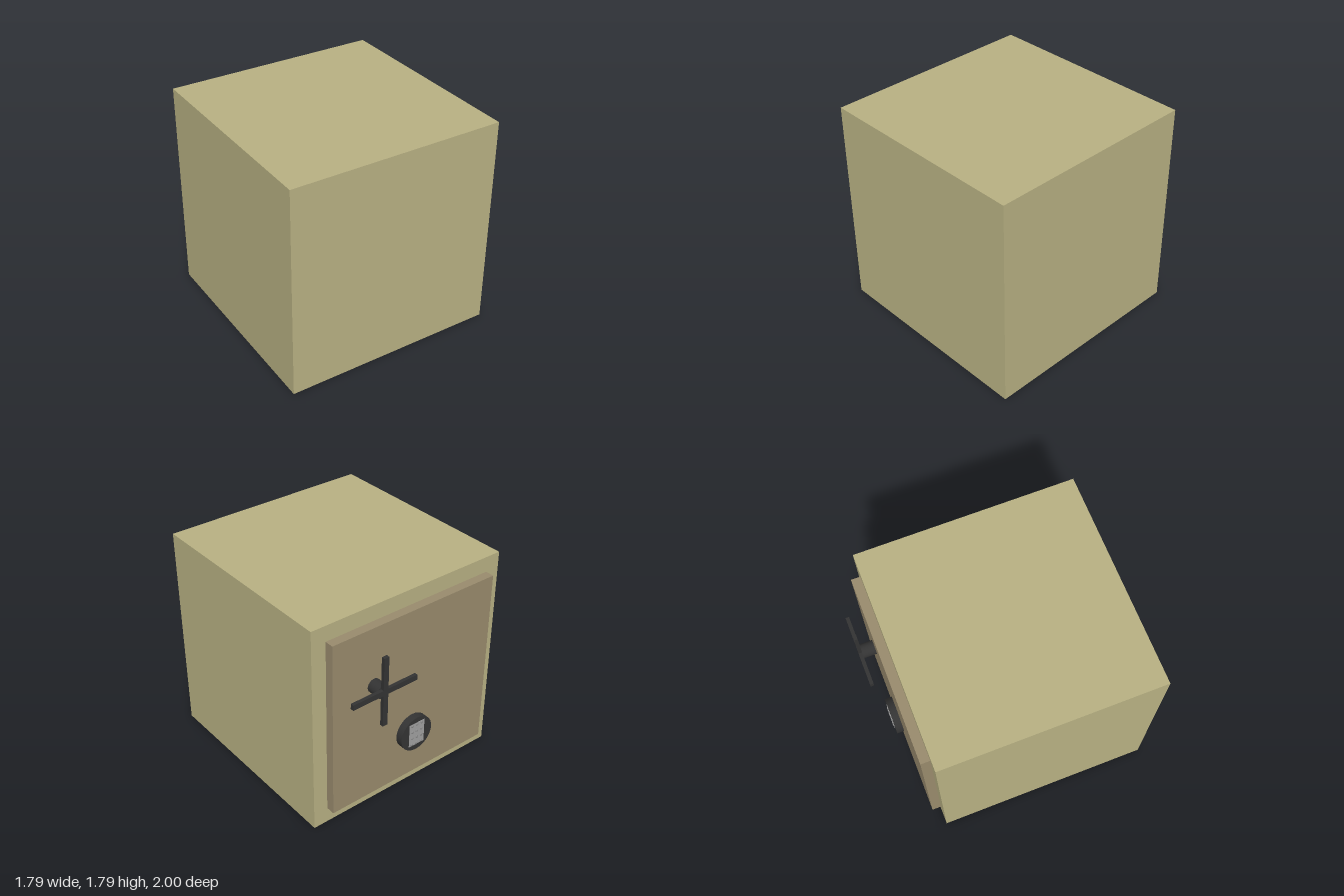
import * as THREE from 'three';

export function createModel() {
  const group = new THREE.Group();
  const mat = (color) => new THREE.MeshStandardMaterial({ color });
  const tan = mat(0xb7b082), brown = mat(0x988a6c), dark = mat(0x333333);
  const padGrey = mat(0xa0a0a0), buttonGrey = mat(0x8c8c8c);

  const add = (name, geometry, material, x, y, z, parent = group) => {
    const mesh = new THREE.Mesh(geometry, material);
    mesh.name = name;
    mesh.position.set(x, y, z);
    parent.add(mesh);
    return mesh;
  };
  const disc = (radius, depth) =>
    new THREE.CylinderGeometry(radius, radius, depth, 32).rotateX(Math.PI / 2);

  // Cabinet and the door on its back
  add('cabinet', new THREE.BoxGeometry(1.79, 1.795, 1.79), tan, 0, 0.8975, 0.105);
  add('door', new THREE.BoxGeometry(1.54, 1.53, 0.075), brown, 0, 0.9, -0.8275);

  // Cross-shaped handle on a round shaft
  const handle = new THREE.Group();
  handle.name = 'handle';
  group.add(handle);
  add('handleShaft', disc(0.058, 0.107), dark, 0.392, 1.17, -0.9185, handle);
  add('handleBarUpright', new THREE.BoxGeometry(0.045, 0.6, 0.029), dark, 0.392, 1.183, -0.9855, handle);
  add('handleBarLevel', new THREE.BoxGeometry(0.6, 0.045, 0.029), dark, 0.392, 1.183, -0.9855, handle);

  // Round lock with a keypad
  const lock = new THREE.Group();
  lock.name = 'lock';
  group.add(lock);
  add('lockHousing', disc(0.153, 0.06), dark, 0, 0.565, -0.895, lock);
  add('keypad', new THREE.BoxGeometry(0.15, 0.21, 0.006), padGrey, 0, 0.568, -0.925, lock);
  const button = new THREE.SphereGeometry(0.013, 12, 8).scale(1, 1, 0.5);
  for (let row = 0; row < 4; row++)
    for (let col = -1; col <= 1; col++)
      add('keypadButton', button, buttonGrey, col * 0.046, 0.478 + row * 0.06, -0.928, lock);

  return group;
}
